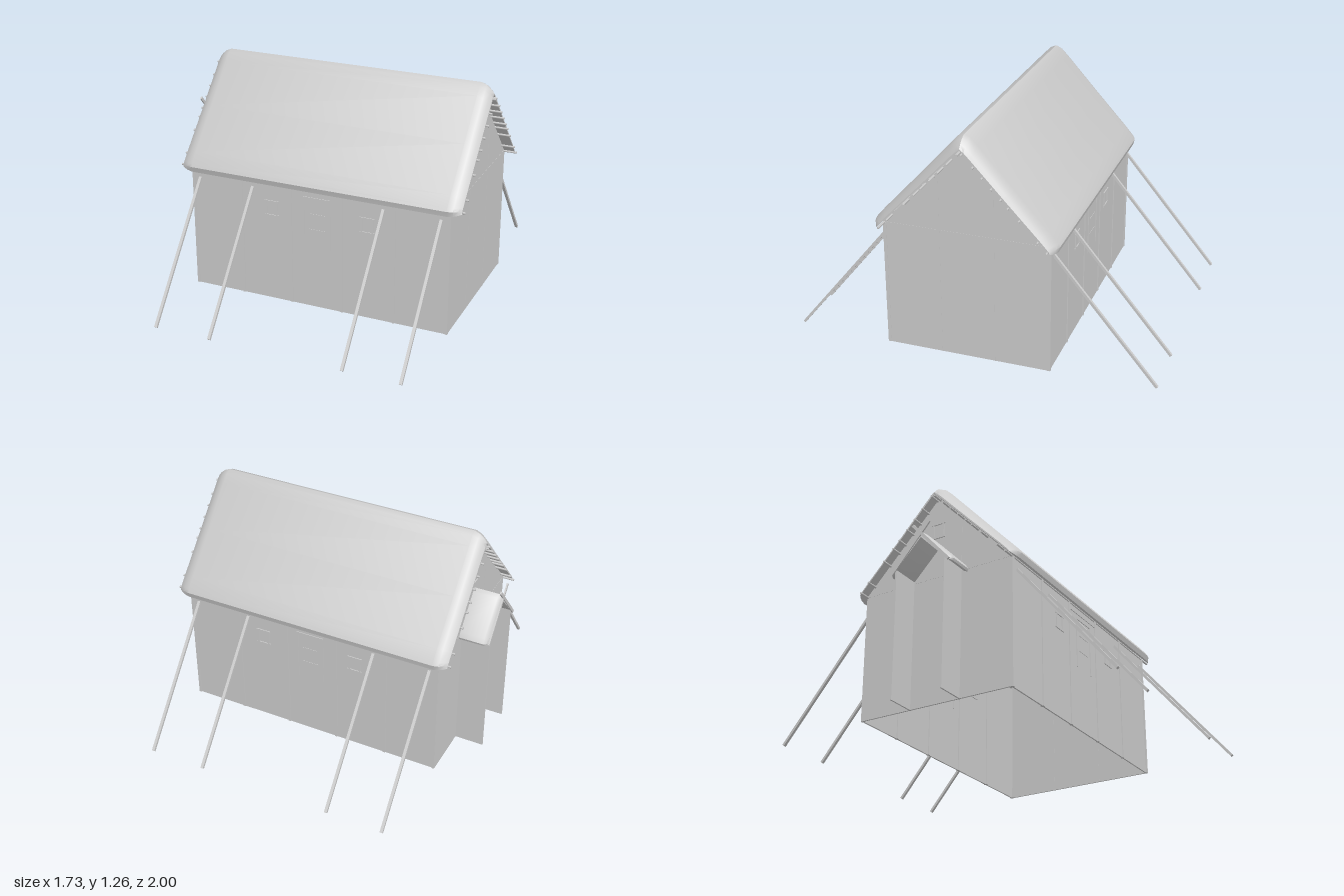
import * as THREE from 'three';
import { toCreasedNormals } from 'three/addons/utils/BufferGeometryUtils.js';

const MID = 0.01; // z of the ridge
const ZF = 0.455, ZB = -0.435; // long wall centres

export function createModel() {
  const model = new THREE.Group();
  const mat = new THREE.MeshStandardMaterial({ color: 0xcccccc, side: THREE.DoubleSide });

  const group = (name, parent = model) => {
    const g = new THREE.Group();
    g.name = name;
    parent.add(g);
    return g;
  };
  const add = (geo, name, parent = model) => {
    const m = new THREE.Mesh(geo, mat);
    m.name = name;
    parent.add(m);
    return m;
  };
  // box given by its minimum and maximum corners
  const box = (name, x0, x1, y0, y1, z0, z1, parent) => {
    const m = add(new THREE.BoxGeometry(x1 - x0, y1 - y0, z1 - z0), name, parent);
    m.position.set((x0 + x1) / 2, (y0 + y1) / 2, (z0 + z1) / 2);
    return m;
  };
  // square bar running between two points
  const bar = (name, a, b, w, d, parent) => {
    const m = add(new THREE.BoxGeometry(w, d, a.distanceTo(b)), name, parent);
    m.position.copy(a).lerp(b, 0.5);
    m.lookAt(b);
    return m;
  };
  const V = (x, y, z) => new THREE.Vector3(x, y, z);

  // Roof shell: the outer skin sinks towards the underside at both ends
  function roofGeometry(outer, inner, stations) {
    const ring = (x, k) => {
      const half = outer.map(([z, y], i) => [inner[i][0] + (z - inner[i][0]) * k, inner[i][1] + (y - inner[i][1]) * k]);
      const last = inner[inner.length - 1];
      const right = [...half, last];
      const left = right.slice(1).reverse().map(([z, y]) => [-z, y]);
      return [...left, ...right, inner[0]].map(([z, y]) => [x, y, z + MID]);
    };
    const rings = stations.map(([x, k]) => ring(x, k));
    const n = rings[0].length;
    const idx = [];
    for (let s = 0; s < rings.length - 1; s++) {
      for (let i = 0; i < n; i++) {
        const a = s * n + i, b = s * n + (i + 1) % n;
        idx.push(a, b, a + n, b, b + n, a + n);
      }
    }
    // end caps: strips between the skin and the underside apex
    const e = (rings.length - 1) * n;
    for (let i = 0; i < n - 2; i++) {
      idx.push(n - 1, i + 1, i, e + n - 1, e + i, e + i + 1);
    }
    const g = new THREE.BufferGeometry();
    g.setAttribute('position', new THREE.Float32BufferAttribute(rings.flat(2), 3));
    g.setIndex(idx);
    return toCreasedNormals(g, 0.7);
  }

  // Main roof
  const outer = [[0, 1.265], [0.03, 1.252], [0.07, 1.212], [0.25, 1.012], [0.44, 0.805], [0.485, 0.752], [0.495, 0.735], [0.487, 0.705]];
  const inner = [[0, 1.205], [0.02, 1.187], [0.05, 1.156], [0.22, 0.976], [0.405, 0.783], [0.44, 0.745], [0.452, 0.732], [0.46, 0.722]];
  add(roofGeometry(outer, inner,
    [[-0.75, 0.12], [-0.735, 0.45], [-0.71, 0.8], [-0.68, 1], [0.78, 1], [0.81, 0.8], [0.835, 0.45], [0.85, 0.12]]), 'roof');

  // Purlins poking out under both roof ends
  const purlins = group('purlins');
  for (const y of [0.73, 0.78, 0.88, 0.94, 0.98, 1.03, 1.08, 1.13, 1.19]) {
    for (const s of [-1, 1]) {
      const p = add(new THREE.CylinderGeometry(0.006, 0.006, 1.63, 8), 'purlin', purlins);
      p.rotation.z = Math.PI / 2;
      p.position.set(0.05, y - 0.007, MID + s * (1.2 - y) / 1.05);
    }
  }

  // Long walls
  box('frontWall', -0.70, 0.79, 0.015, 0.725, ZF - 0.004, ZF + 0.004);
  box('backWall', -0.70, 0.79, 0.015, 0.725, ZB - 0.004, ZB + 0.004);

  // Gable walls
  const gable = new THREE.Shape([[-0.45, 0.015], [0.45, 0.015], [0.45, 0.728], [0, 1.2], [-0.45, 0.728]]
    .map(([z, y]) => new THREE.Vector2(z, y)));
  for (const [x, name] of [[-0.70, 'rightGable'], [0.782, 'leftGable']]) {
    const geo = new THREE.ExtrudeGeometry(gable, { depth: 0.008, bevelEnabled: false });
    geo.rotateY(-Math.PI / 2);
    add(geo, name).position.set(x + 0.008, 0, MID);
    const battens = group(name + 'Battens');
    for (const z of [-0.14, 0.155]) box('batten', x - 0.001, x + 0.009, 0.015, 1.03, z - 0.003, z + 0.003, battens);
    box('tieBeam', x - 0.001, x + 0.009, 0.722, 0.728, -0.44, 0.46, battens);
  }

  // Posts between the wall panels
  const posts = group('posts');
  for (const x of [-0.692, -0.40, -0.107, 0.19, 0.487, 0.785]) {
    for (const z of [ZF, ZB]) box('post', x - 0.007, x + 0.007, 0.015, 0.72, z - 0.009, z + 0.009, posts);
  }

  // Window frame with projecting sill and head, centred on its own origin
  function windowFrame(name) {
    const g = group(name);
    for (const s of [-1, 1]) {
      box('crossBar', -0.042, 0.042, s * 0.041 - 0.005, s * 0.041 + 0.005, -0.009, 0.009, g);
      box('sideBar', s * 0.031 - 0.004, s * 0.031 + 0.004, -0.04, 0.04, -0.009, 0.009, g);
    }
    return g;
  }
  for (const z of [ZF, ZB]) {
    for (const x of [-0.22, 0.335]) windowFrame('window').position.set(x, 0.555, z);
  }
  const gableWindow = windowFrame('gableWindow');
  gableWindow.rotation.y = Math.PI / 2;
  gableWindow.position.set(-0.697, 1.0, MID);

  // Hatch frames in the middle of the long walls
  for (const [z, name] of [[ZF, 'frontHatch'], [ZB, 'backHatch']]) {
    const g = group(name);
    const z0 = z - 0.008, z1 = z + 0.008;
    box('jamb', -0.032, -0.024, 0.37, 0.66, z0, z1, g);
    box('jamb', 0.119, 0.127, 0.37, 0.66, z0, z1, g);
    box('head', -0.032, 0.127, 0.652, 0.66, z0, z1, g);
    box('lintel', -0.10, 0.185, 0.683, 0.692, z0, z1, g);
    for (const y of [0.47, 0.56]) box('rung', 0, 0.095, y, y + 0.006, z - 0.006, z + 0.006, g);
  }

  // Slanting props on both long sides
  const props = group('props');
  for (const x of [-0.65, -0.33, 0.425, 0.74]) {
    for (const s of [-1, 1]) {
      bar('prop', V(x, 0.006, s * 0.994), V(x, 0.665, MID + s * 0.45), 0.016, 0.014, props);
    }
  }

  // Porch: two side walls, a small gable roof and crossed barge boards
  const porch = group('porch');
  for (const z of [-0.14, 0.155]) box('porchWall', -0.86, -0.69, 0.015, 0.745, z - 0.004, z + 0.004, porch);
  const pOuter = [[0, 0.922], [0.02, 0.907], [0.175, 0.745], [0.19, 0.72], [0.185, 0.707]];
  const pInner = [[0, 0.885], [0.015, 0.87], [0.15, 0.734], [0.163, 0.72], [0.165, 0.714]];
  porch.add(add(roofGeometry(pOuter, pInner, [[-0.86, 0.2], [-0.85, 0.65], [-0.835, 1], [-0.70, 1]]), 'porchRoof'));
  for (const s of [-1, 1]) {
    bar('bargeBoard', V(-0.862, 0.71, MID + s * 0.175), V(-0.862, 0.965, MID - s * 0.05), 0.008, 0.016, porch);
  }
  return model;
}
